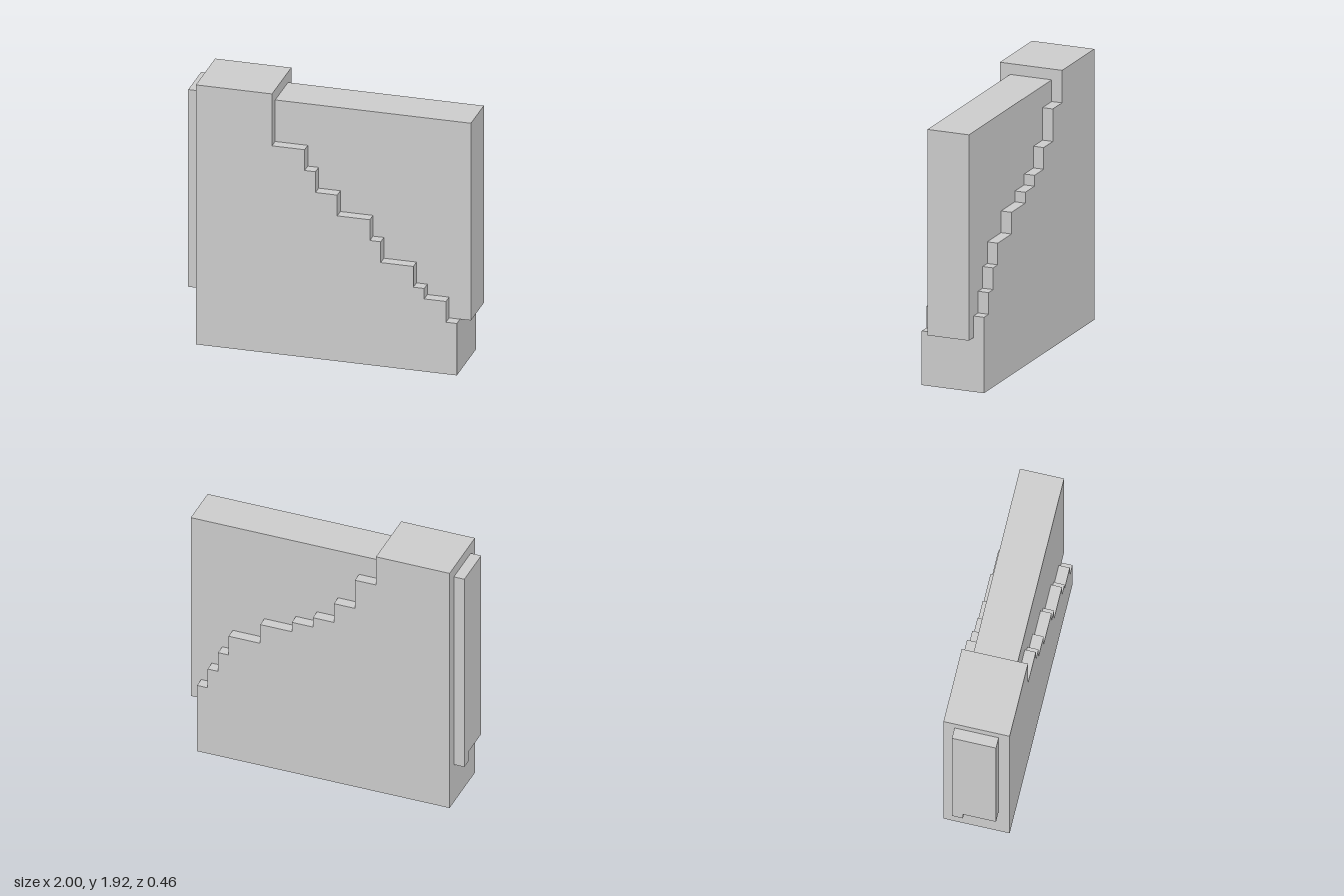
import * as THREE from 'three';

const U = 1 / 13; // block unit: every dimension is a whole number of blocks
const material = new THREE.MeshStandardMaterial({ color: 0xcccccc, flatShading: true });

function add(group, name, geometry) {
  geometry.scale(U, U, U);
  const mesh = new THREE.Mesh(geometry, material);
  mesh.name = name;
  group.add(mesh);
}

// Box given by its minimum and maximum corners, in blocks
function box(x0, y0, z0, x1, y1, z1) {
  return new THREE.BoxGeometry(x1 - x0, y1 - y0, z1 - z0)
    .translate((x0 + x1) / 2, (y0 + y1) / 2, (z0 + z1) / 2);
}

// Stepped half wall: each step is [right end, height], running from x = -12
function steppedWall(steps, z0) {
  const shape = new THREE.Shape();
  shape.moveTo(-12, 0);
  shape.lineTo(12, 0);
  let right = 12;
  for (const [end, height] of [...steps].reverse()) {
    shape.lineTo(end, height);
    right = end;
    const i = steps.findIndex((s) => s[0] === right);
    shape.lineTo(i > 0 ? steps[i - 1][0] : -12, height);
  }
  shape.closePath();
  return new THREE.ExtrudeGeometry(shape, { depth: 3, bevelEnabled: false }).translate(0, 0, z0);
}

export function createModel() {
  const model = new THREE.Group();
  model.name = 'steppedWall';

  // Front half: tower and descending steps
  add(model, 'frontSteps', steppedWall([
    [-5, 25], [-2, 20], [-1, 18], [1, 16], [4, 14],
    [5, 12], [8, 10], [9, 8], [11, 7], [12, 5],
  ], 0));

  // Back half: same tower with its own step rhythm
  add(model, 'backSteps', steppedWall([
    [-5, 25], [-3, 22], [-1, 19], [1, 17], [3, 16],
    [6, 15], [9, 13], [10, 11], [11, 9], [12, 7],
  ], -3));

  // Thinner slab running through the wall and past both ends
  add(model, 'coreSlab', box(-13, 5, -2, 13, 24, 2));

  // Small block hanging under the slab's rear corner
  add(model, 'slabFoot', box(-13, 4, -2, -12, 5, -1));

  return model;
}
